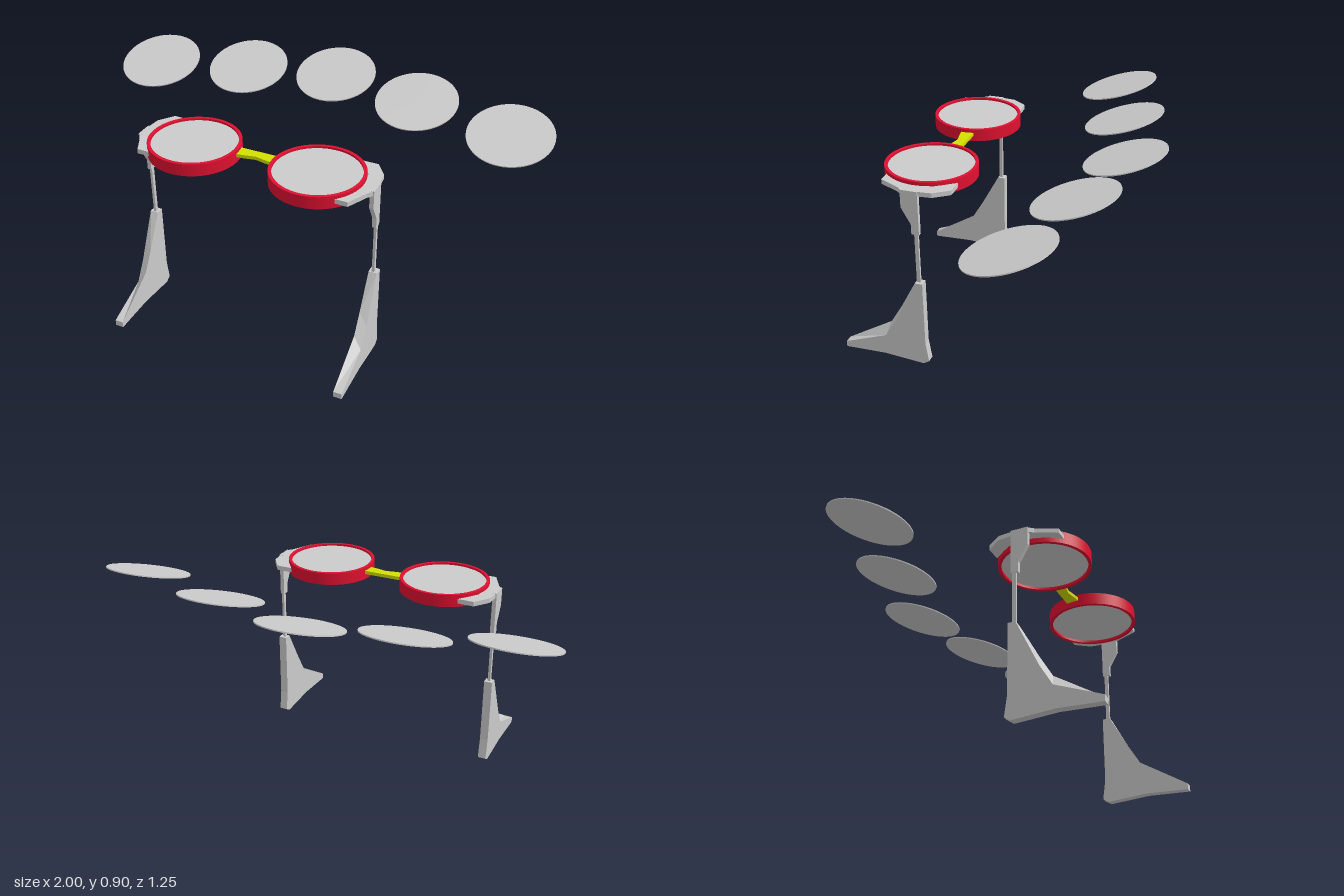
import * as THREE from 'three';

const mat = (color) => new THREE.MeshStandardMaterial({ color });
const grey = mat(0xcccccc);
const red = mat(0xe01030);
const yellow = mat(0xd4e000);
const flatGrey = new THREE.MeshStandardMaterial({ color: 0xcccccc, flatShading: true });

function add(parent, name, geometry, material, x = 0, y = 0, z = 0) {
  const mesh = new THREE.Mesh(geometry, material);
  mesh.name = name;
  mesh.position.set(x, y, z);
  parent.add(mesh);
  return mesh;
}

const extrude = (points, depth) => new THREE.ExtrudeGeometry(
  new THREE.Shape(points.map(([a, b]) => new THREE.Vector2(a, b))),
  { depth, bevelEnabled: false });

// outline in (x, z), lying flat, thickness centred on y = 0
const flatSlab = (points, depth) =>
  extrude(points, depth).translate(0, 0, -depth / 2).rotateX(Math.PI / 2);

// outline in (z, y), standing upright, thickness centred on x = 0
const sideSlab = (points, depth) =>
  extrude(points, depth).translate(0, 0, -depth / 2).rotateY(-Math.PI / 2);

// ear tip: the outer face is cut back along its hollow front edge
function earTipGeometry() {
  const geometry = sideSlab([
    [0.25, 0.4], [0.25, 0.107], [0.237, 0.018], [0.262, 0.002], [0.44, 0.016],
    [0.623, 0.01], [0.623, 0.036], [0.417, 0.163], [0.365, 0.25], [0.283, 0.4],
  ], 0.036);
  const p = geometry.attributes.position;
  for (let i = 0; i < p.count; i++) {
    const onHollow = p.getY(i) > 0.15 && p.getY(i) < 0.3;
    if (p.getX(i) > 0 && onHollow) {
      p.setY(i, p.getY(i) - 0.052);
      p.setZ(i, p.getZ(i) + 0.013);
    }
  }
  geometry.computeVertexNormals();
  return geometry;
}

// one half of the glasses, built on the +x side
function buildSide(name) {
  const side = new THREE.Group();
  side.name = name;

  // rim and lens
  const rim = [[0.179, -0.027], [0.193, -0.027], [0.193, 0.027], [0.179, 0.027], [0.179, -0.027]];
  for (let i = 0; i < 4; i++) {
    const wall = rim.slice(i, i + 2).map(([r, y]) => new THREE.Vector2(r, y));
    add(side, 'rim', new THREE.LatheGeometry(wall, 64), red, 0.272, 0.802, 0.297);
  }
  add(side, 'lens', new THREE.CylinderGeometry(0.18, 0.18, 0.034, 64), grey, 0.272, 0.803, 0.297);

  // hinge plate
  add(side, 'hingePlate', flatSlab([
    [0.392, 0.136], [0.462, 0.136], [0.509, 0.2], [0.515, 0.26], [0.515, 0.33],
    [0.499, 0.35], [0.457, 0.437], [0.392, 0.437], [0.454, 0.35], [0.454, 0.22],
  ], 0.02), flatGrey, 0, 0.804, 0);

  // folding arm: broad head, thin rod, ear tip
  add(side, 'armHead', sideSlab([
    [0.257, 0.815], [0.257, 0.622], [0.29, 0.622], [0.29, 0.667], [0.33, 0.737], [0.33, 0.815],
  ], 0.018), flatGrey, 0.511);
  add(side, 'armRod', new THREE.BoxGeometry(0.011, 0.25, 0.016), flatGrey, 0.512, 0.51, 0.271);
  add(side, 'earTip', earTipGeometry(), flatGrey, 0.513);
  return side;
}

export function createModel() {
  const model = new THREE.Group();
  model.name = 'glassesWithSpareLenses';

  const glasses = new THREE.Group();
  glasses.name = 'glasses';
  glasses.position.x = -0.062;
  model.add(glasses);
  const left = buildSide('leftSide');
  const right = buildSide('rightSide');
  right.scale.x = -1;
  glasses.add(left, right);

  // bridge between the rims
  add(glasses, 'bridge', flatSlab([
    [-0.085, 0.25], [0.085, 0.25], [0.085, 0.305], [0.05, 0.3],
    [0, 0.29], [-0.05, 0.3], [-0.085, 0.305],
  ], 0.015), yellow, 0, 0.807, 0);

  // arc of thin tilted spare lenses
  const spares = [[-0.822, -0.243], [-0.43, -0.358], [-0.037, -0.453], [0.38, -0.358], [0.82, -0.243]];
  for (const [x, z] of spares) {
    const disc = add(model, 'spareLens',
      new THREE.CylinderGeometry(0.179, 0.179, 0.005, 64), grey, x, 0.85, z);
    disc.rotation.x = 0.284;
  }
  return model;
}
